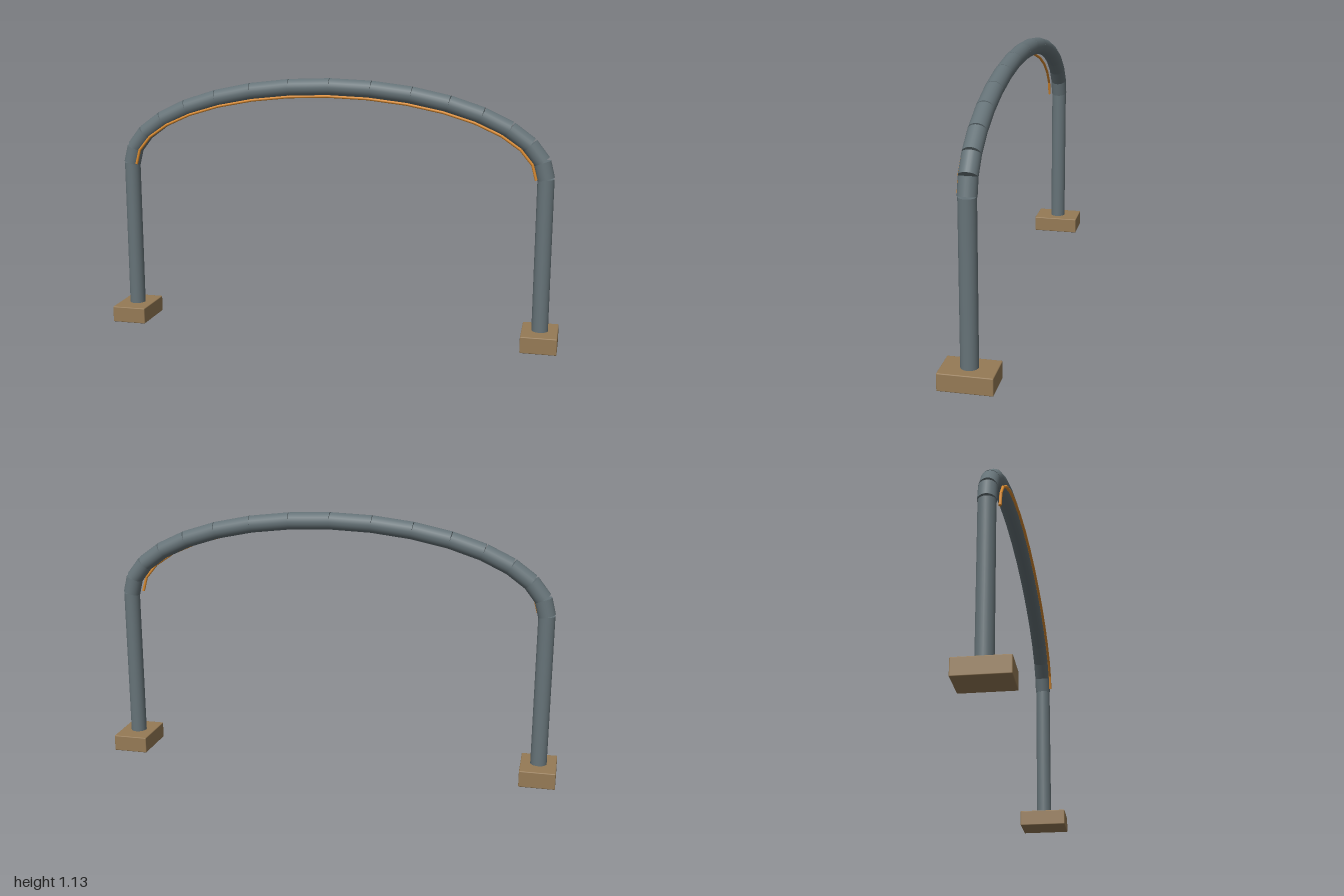
import * as THREE from 'three';
import { RoundedBoxGeometry } from 'three/addons/geometries/RoundedBoxGeometry.js';

const steel = new THREE.MeshStandardMaterial({ color: 0x667378 });
const wood = new THREE.MeshStandardMaterial({ color: 0x957a55 });
const orange = new THREE.MeshStandardMaterial({ color: 0xd88a30 });

const SPAN = 0.923, SPRING = 0.73, SEGMENTS = 16;

// Straight round bar between two points
function bar(name, a, b, radius, sides, material) {
  const dir = b.clone().sub(a);
  const mesh = new THREE.Mesh(new THREE.CylinderGeometry(radius, radius, dir.length(), sides), material);
  mesh.name = name;
  mesh.position.copy(a).add(b).multiplyScalar(0.5);
  mesh.quaternion.setFromUnitVectors(new THREE.Vector3(0, 1, 0), dir.normalize());
  return mesh;
}

// Half ellipse made of separate straight bars
function arch(name, rx, ry, z, radius, sides, material) {
  const group = new THREE.Group();
  group.name = name;
  const point = (i) => {
    const t = (Math.PI * i) / SEGMENTS;
    return new THREE.Vector3(-rx * Math.cos(t), SPRING + ry * Math.sin(t), z);
  };
  for (let i = 0; i < SEGMENTS; i++) {
    group.add(bar(name + 'Segment', point(i), point(i + 1), radius, sides, material));
  }
  return group;
}

export function createModel() {
  const model = new THREE.Group();
  model.name = 'archway';

  // Footings and posts
  for (const [side, s] of [['left', 1], ['right', -1]]) {
    const foot = new THREE.Mesh(new RoundedBoxGeometry(0.154, 0.072, 0.216, 2, 0.004), wood);
    foot.name = side + 'Footing';
    foot.position.set(s * SPAN, 0.036, 0);
    model.add(foot);
    model.add(bar(side + 'Post', new THREE.Vector3(s * SPAN, 0.06, 0),
      new THREE.Vector3(s * SPAN, SPRING, 0), 0.035, 24, steel));
  }

  // Main arch tube and the thin strip along its inner front edge
  model.add(arch('archTube', SPAN, 0.362, 0, 0.037, 24, steel));
  model.add(arch('lightStrip', 0.885, 0.325, 0.043, 0.006, 10, orange));
  return model;
}
